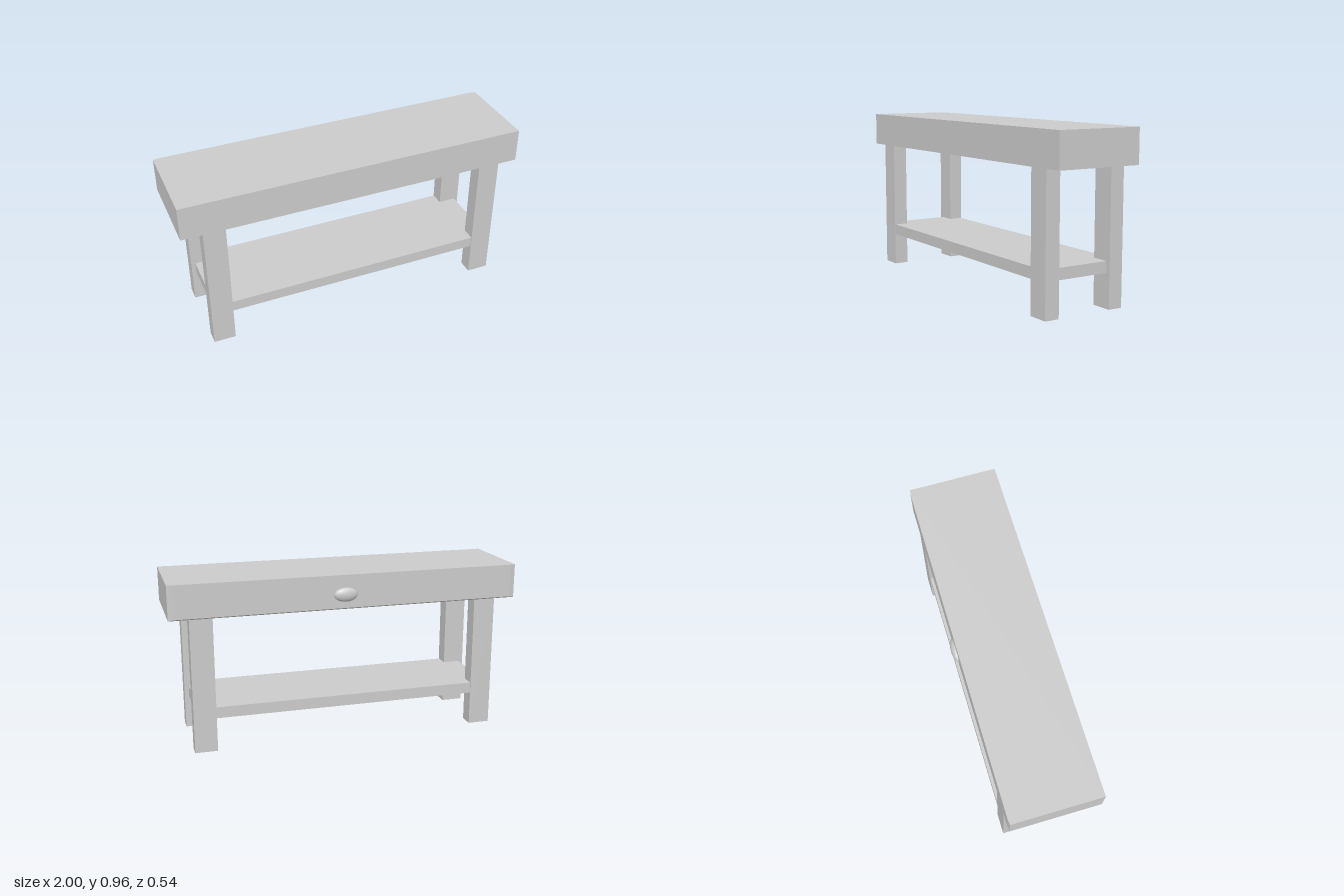
import * as THREE from 'three';

const material = new THREE.MeshStandardMaterial({ color: 0xcccccc, flatShading: true });
const smooth = new THREE.MeshStandardMaterial({ color: 0xcccccc });

// Box given by its minimum and maximum corners
function block(name, [x0, y0, z0], [x1, y1, z1]) {
  const mesh = new THREE.Mesh(new THREE.BoxGeometry(x1 - x0, y1 - y0, z1 - z0), material);
  mesh.position.set((x0 + x1) / 2, (y0 + y1) / 2, (z0 + z1) / 2);
  mesh.name = name;
  return mesh;
}

// Table top lofted through rectangles [halfWidth, bottom, top, z], front to back
function tableTopGeometry() {
  const sections = [
    [1, 0.767, 0.961, 0.27],
    [1, 0.767, 0.961, -0.235],
    [0.972, 0.773, 0.961, -0.24],
  ];
  const positions = [];
  for (const [w, y0, y1, z] of sections) {
    positions.push(-w, y0, z, w, y0, z, w, y1, z, -w, y1, z);
  }
  const index = [0, 1, 2, 0, 2, 3];
  for (let s = 0; s < sections.length - 1; s++) {
    for (let i = 0; i < 4; i++) {
      const a = s * 4 + i, b = s * 4 + (i + 1) % 4;
      index.push(a, a + 4, b, b, a + 4, b + 4);
    }
  }
  const e = (sections.length - 1) * 4;
  index.push(e, e + 2, e + 1, e, e + 3, e + 2);
  const indexed = new THREE.BufferGeometry();
  indexed.setAttribute('position', new THREE.Float32BufferAttribute(positions, 3));
  indexed.setIndex(index);
  const geometry = indexed.toNonIndexed();
  geometry.computeVertexNormals();
  return geometry;
}

export function createModel() {
  const group = new THREE.Group();
  group.name = 'bench';

  // Thick top with a slight bevel around its back face
  const top = new THREE.Mesh(tableTopGeometry(), material);
  top.name = 'tableTop';
  group.add(top);

  // Four square legs
  for (const [side, x0, x1] of [['Left', 0.763, 0.89], ['Right', -0.88, -0.755]]) {
    for (const [end, z0, z1] of [['front', 0.18, 0.265], ['back', -0.232, -0.148]]) {
      group.add(block(`${end}${side}Leg`, [x0, 0, z0], [x1, 0.767, z1]));
    }
  }

  // Lower shelf, let into the legs
  group.add(block('shelf', [-0.855, 0.193, -0.228], [0.865, 0.257, 0.261]));

  // Flattened oval knob on the back face
  const knob = new THREE.Mesh(new THREE.SphereGeometry(1, 32, 20), smooth);
  knob.scale.set(0.068, 0.04, 0.025);
  knob.position.set(0.023, 0.85, -0.242);
  knob.name = 'knob';
  group.add(knob);

  return group;
}
